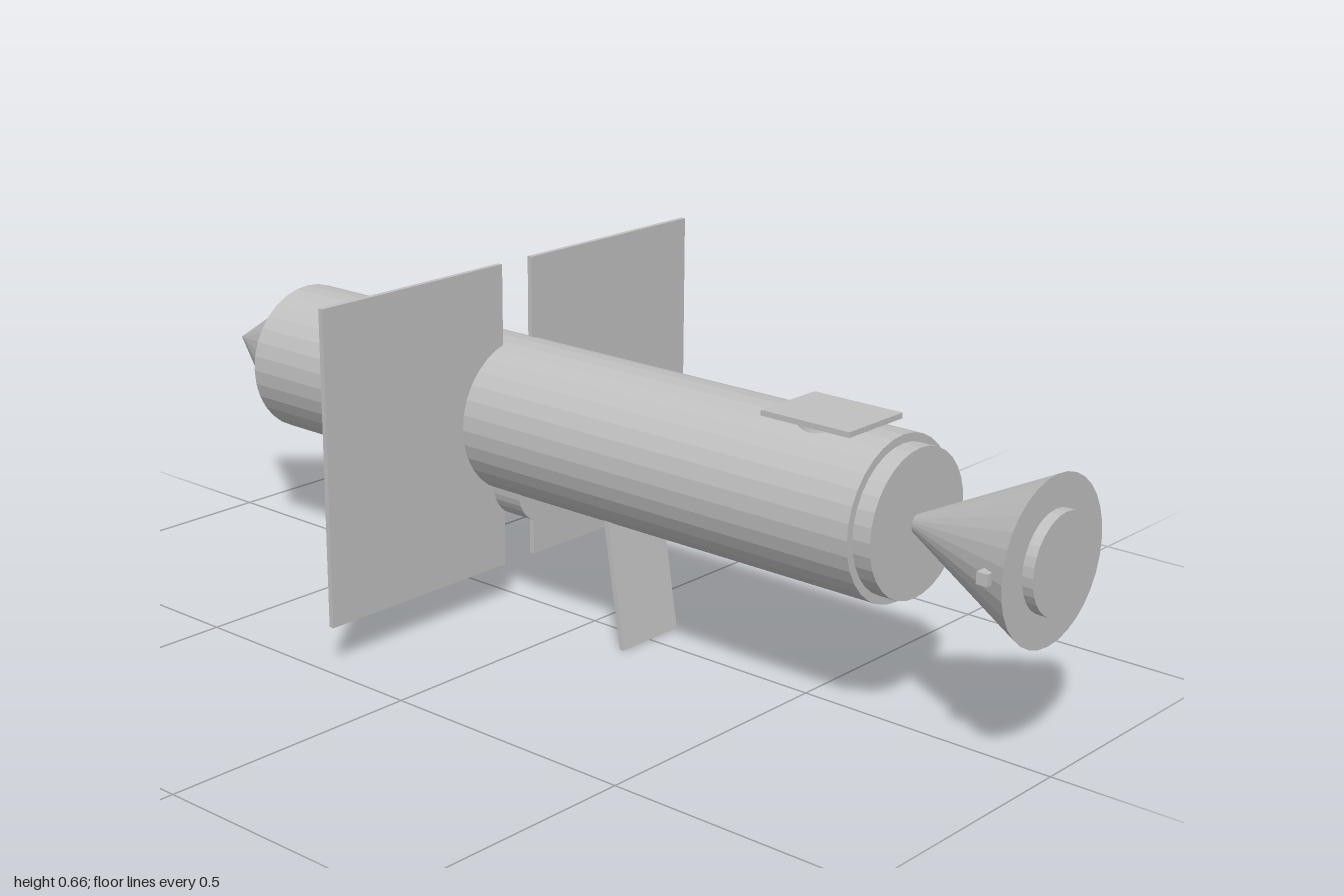
import * as THREE from 'three';

const AXIS_Y = 0.368;

export function createModel() {
  const group = new THREE.Group();
  const grey = new THREE.MeshStandardMaterial({ color: 0xbfbfbf, flatShading: true });
  grey.name = 'grey';

  const add = (name, geometry, x, y, z) => {
    const mesh = new THREE.Mesh(geometry, grey);
    mesh.name = name;
    mesh.position.set(x, y, z);
    group.add(mesh);
    return mesh;
  };
  const box = (name, w, h, d, x, y, z) => add(name, new THREE.BoxGeometry(w, h, d), x, y, z);

  // Round part along x, from x0 (radius r0) to x1 (radius r1)
  const round = (name, x0, r0, x1, r1, y = AXIS_Y, sides = 32) => {
    const geometry = new THREE.CylinderGeometry(r1, r0, x1 - x0, sides);
    geometry.rotateZ(-Math.PI / 2);
    return add(name, geometry, (x0 + x1) / 2, y, 0);
  };

  // Fuselage, nose and tail
  round('body', -0.785, 0.147, 0.685, 0.147);
  round('noseCone', -1, 0, -0.785, 0.13);
  round('tailRing', 0.685, 0.132, 0.72, 0.132);
  round('nozzle', 0.685, 0, 0.98, 0.146);
  round('nozzleDisc', 0.98, 0.088, 1, 0.088);

  // Features on both sides
  for (const [label, side] of [['left', 1], ['right', -1]]) {
    box(label + 'Panel', 0.01, 0.588, 0.44, -0.2, 0.369, side * 0.259);
    box(label + 'NozzleLug', 0.021, 0.021, 0.03, 0.942, AXIS_Y, side * 0.128);
  }

  // Hatch plate on its round mount
  add('hatchMount', new THREE.CylinderGeometry(0.058, 0.064, 0.025, 32), 0.537, 0.503, 0);
  box('hatchPlate', 0.185, 0.01, 0.148, 0.537, 0.519, 0);

  // Belly drum and slanted support plate
  round('bellyDrum', -0.197, 0.068, -0.13, 0.068, 0.239);
  const support = box('supportPlate', 0.01, 0.25, 0.148, 0.114, 0.124, 0);
  support.rotation.z = 0.165;

  return group;
}
